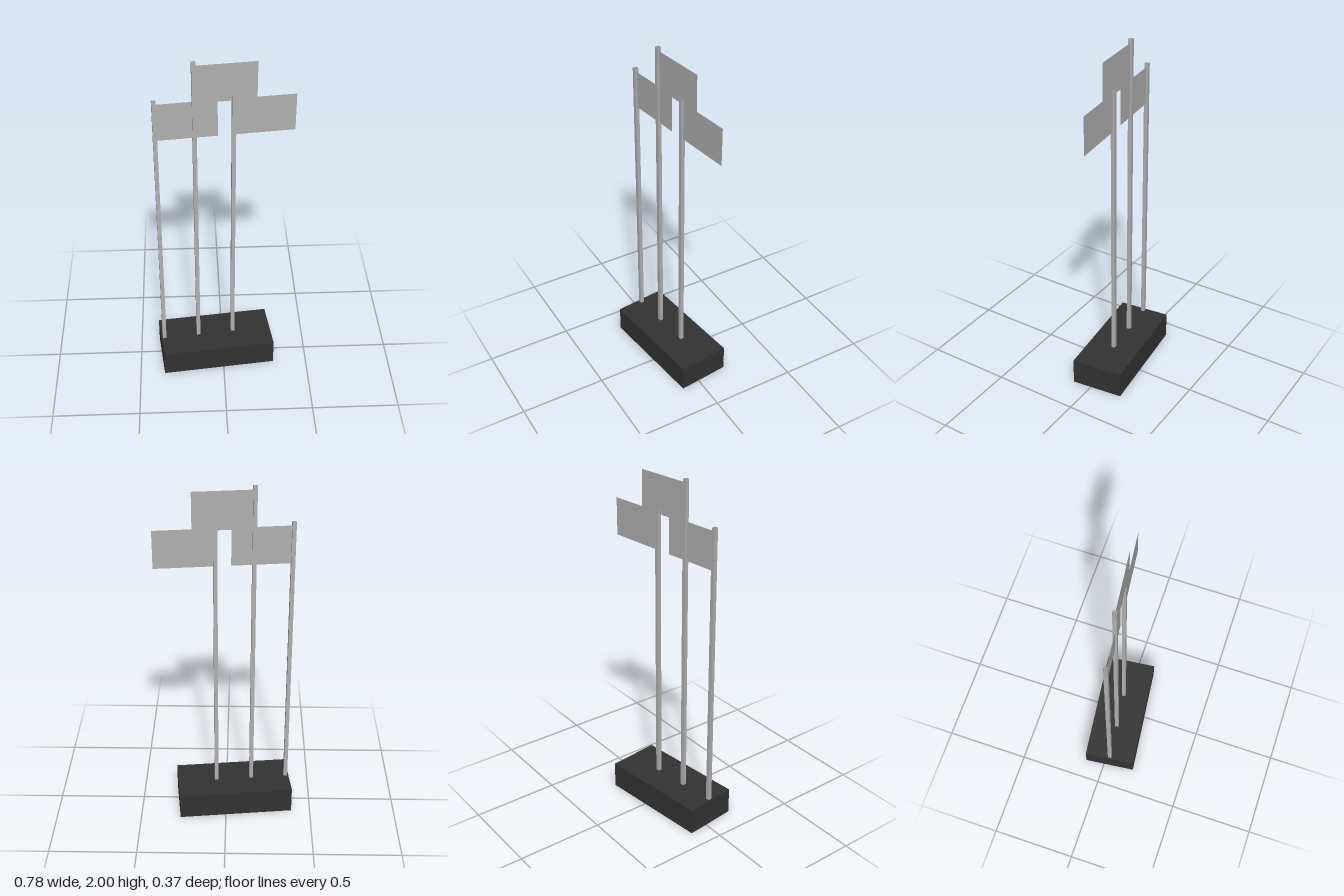
import * as THREE from 'three';

export function createModel() {
  const model = new THREE.Group();
  const charcoal = new THREE.MeshStandardMaterial({ color: 0x333333, side: THREE.DoubleSide });
  charcoal.name = 'charcoal';
  const grey = new THREE.MeshStandardMaterial({ color: 0xb0b0b0, side: THREE.DoubleSide });
  grey.name = 'grey';

  // Everything stands on one line, turned slightly about the vertical
  const stand = new THREE.Group();
  stand.name = 'stand';
  stand.position.set(-0.044, 0, -0.001);
  stand.rotation.y = 0.112;
  model.add(stand);

  const add = (name, geometry, material, x, y) => {
    const mesh = new THREE.Mesh(geometry, material);
    mesh.name = name;
    mesh.position.set(x, y, 0);
    stand.add(mesh);
  };

  // Four thin walls, open above and below, rising from y = 0
  const walls = (w, h, d) => {
    const g = new THREE.CylinderGeometry(Math.SQRT1_2, Math.SQRT1_2, 1, 4, 1, true)
      .rotateY(Math.PI / 4).translate(0, 0.5, 0).scale(w, h, d).toNonIndexed();
    g.computeVertexNormals();
    return g;
  };

  // Base: hollow box without a floor
  const baseW = 0.661, baseH = 0.155, baseD = 0.303;
  add('baseWalls', walls(baseW, baseH, baseD), charcoal, 0, 0);
  add('baseTop', new THREE.PlaneGeometry(baseW, baseD).rotateX(-Math.PI / 2), charcoal, 0, baseH);

  // Three square tubes, each carrying a flag-like panel on its left
  const panelW = 0.33, panelH = 0.216;
  [
    ['right', -0.312, 1.795],
    ['middle', -0.105, 2.0],
    ['left', 0.103, 1.795],
  ].forEach(([side, x, top]) => {
    add(side + 'Pole', walls(0.022, top, 0.022), grey, x, 0);
    add(side + 'Panel', new THREE.PlaneGeometry(panelW, panelH), grey,
      x + panelW / 2, top - 0.02 - panelH / 2);
  });

  return model;
}
